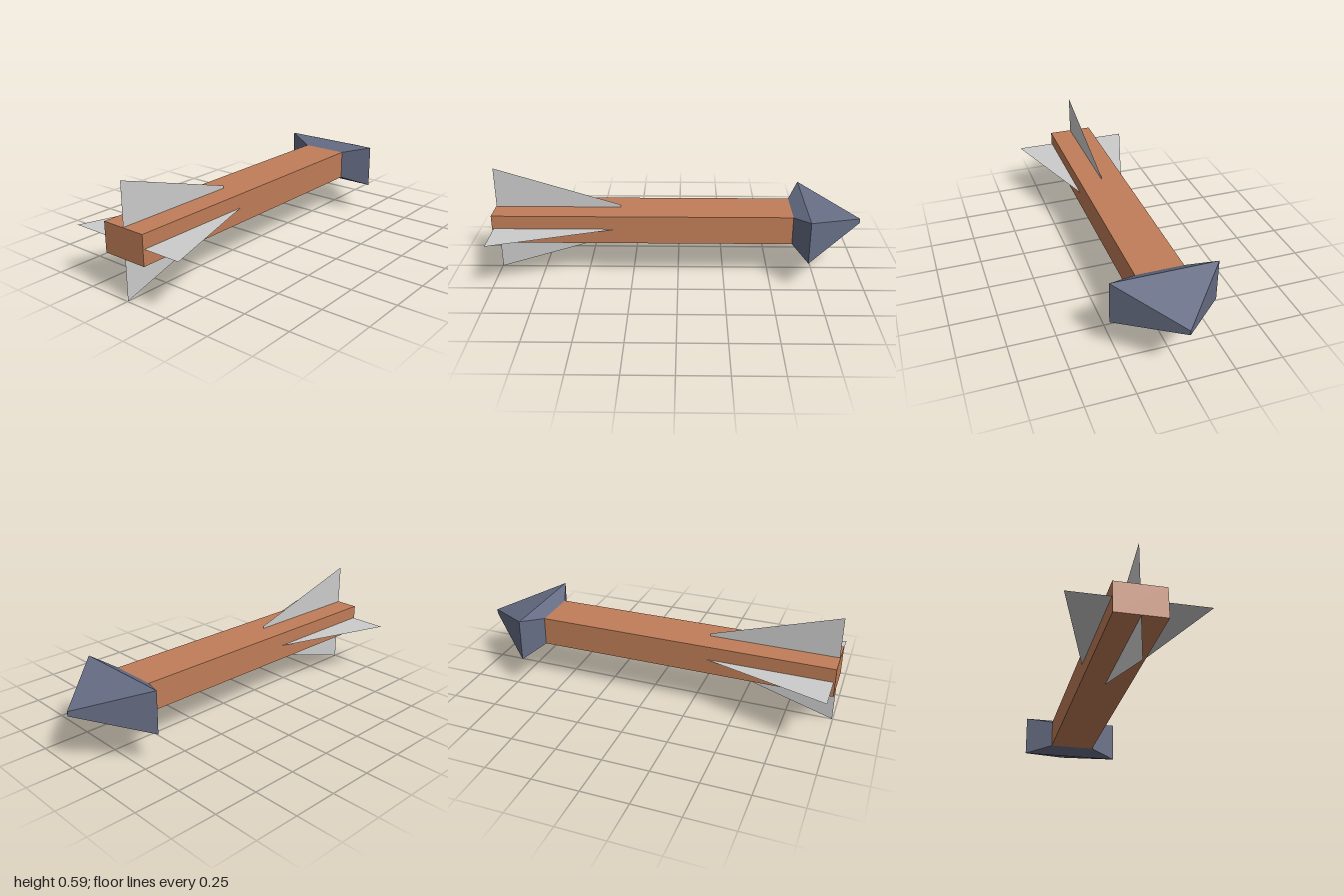
import * as THREE from 'three';

const wood = new THREE.MeshStandardMaterial({ name: 'wood', color: 0xc07d58 });
const slate = new THREE.MeshStandardMaterial({ name: 'slate', color: 0x666d84 });
// Fins are single thin sheets, so both sides must show
const feather = new THREE.MeshStandardMaterial({ name: 'paleGrey', color: 0xcccccc, side: THREE.DoubleSide });

// Faceted solid through rectangular sections [z, halfWidth, bottom, top], ordered from +z to -z
function rectLoft(sections) {
  const rings = sections.map(([z, w, b, t]) => [[-w, b, z], [w, b, z], [w, t, z], [-w, t, z]]);
  const pos = [];
  const quad = (a, b, c, d) => pos.push(...a, ...b, ...c, ...a, ...c, ...d);
  for (let s = 0; s < rings.length - 1; s++) {
    for (let i = 0; i < 4; i++) {
      const j = (i + 1) % 4;
      quad(rings[s][j], rings[s][i], rings[s + 1][i], rings[s + 1][j]);
    }
  }
  const last = rings[rings.length - 1];
  quad(...rings[0]);
  quad(last[3], last[2], last[1], last[0]);
  const geo = new THREE.BufferGeometry();
  geo.setAttribute('position', new THREE.Float32BufferAttribute(pos, 3));
  geo.computeVertexNormals();
  return geo;
}

// Flat tapered sheet lying in the xz plane, running through the shaft
function finSheet(zNarrow, zWide, narrow, wide) {
  const shape = new THREE.Shape();
  shape.moveTo(-narrow, zNarrow);
  shape.lineTo(narrow, zNarrow);
  shape.lineTo(wide, zWide);
  shape.lineTo(-wide, zWide);
  shape.closePath();
  return new THREE.ShapeGeometry(shape).rotateX(Math.PI / 2);
}

export function createModel() {
  const group = new THREE.Group();
  group.name = 'arrow';
  const add = (name, geo, mat) => {
    const mesh = new THREE.Mesh(geo, mat);
    mesh.name = name;
    group.add(mesh);
    return mesh;
  };

  // Shaft
  const shaft = add('shaft', new THREE.BoxGeometry(0.254, 0.157, 1.615), wood);
  shaft.position.set(0, 0.2925, 0.1925);

  // Arrowhead: flares from the shaft, then tapers to a short upright edge
  add('arrowhead', rectLoft([
    [-0.615, 0.127, 0.214, 0.371],
    [-0.685, 0.279, 0.178, 0.41],
    [-1, 0.001, 0.282, 0.307],
  ]), slate);

  // Crossed tail fins
  const sideFins = add('sideFins', finSheet(0.315, 0.992, 0.122, 0.337), feather);
  const uprightFins = add('uprightFins', finSheet(0.315, 0.997, 0.088, 0.297), feather);
  uprightFins.rotation.z = Math.PI / 2;
  for (const fin of [sideFins, uprightFins]) fin.position.y = 0.297;

  return group;
}
